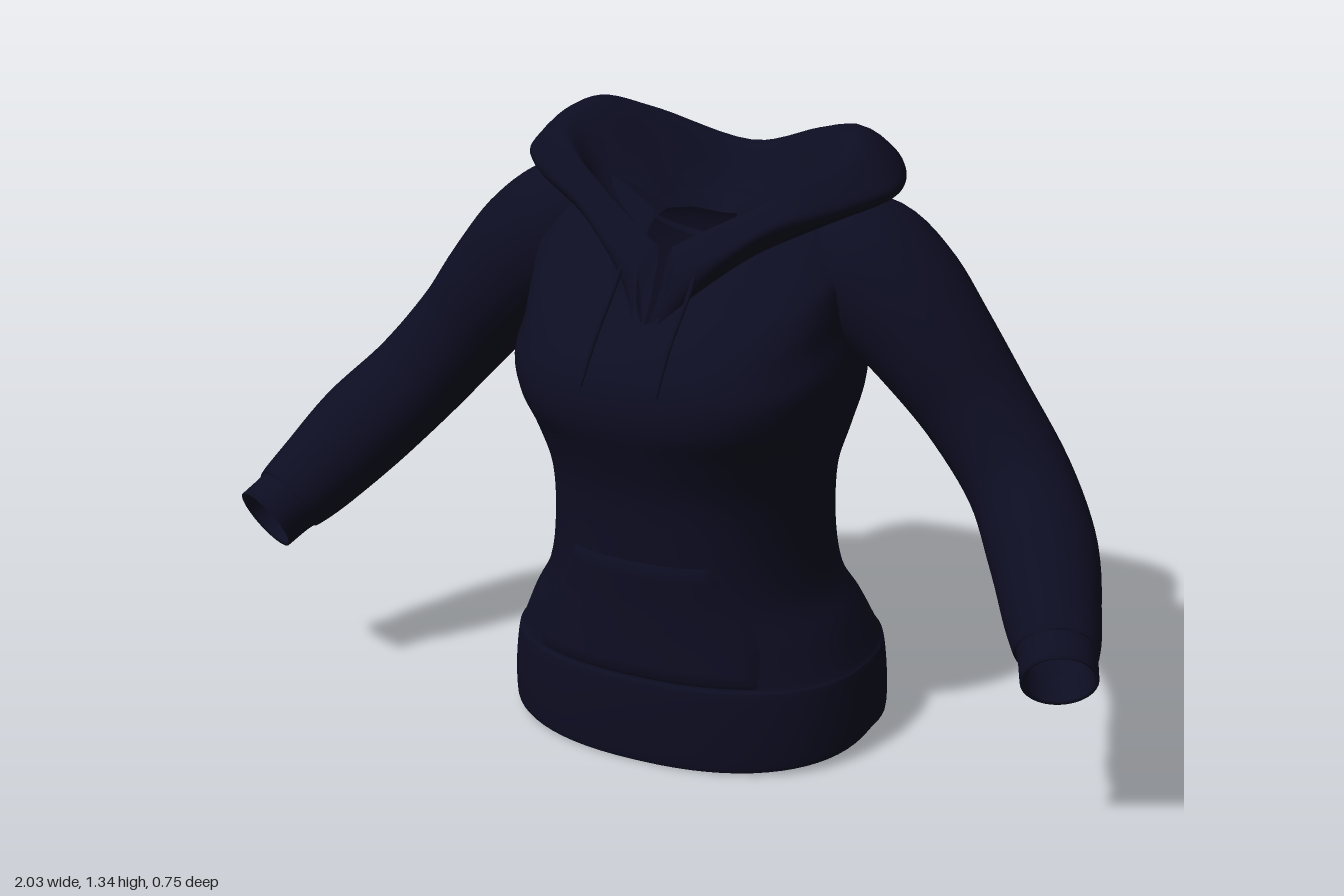
import * as THREE from 'three';

const V = (x, y, z) => new THREE.Vector3(x, y, z);

// Resample a list of points with a smooth curve
function smooth(points, n) {
  const curve = new THREE.CatmullRomCurve3(points, false, 'catmullrom', 0.5);
  return Array.from({ length: n + 1 }, (_, i) => curve.getPoint(i / n));
}

// Resample a list of equal sections along the loft direction
function smoothSections(sections, n) {
  const columns = sections[0].map((_, j) => smooth(sections.map((s) => s[j]), n));
  return Array.from({ length: n + 1 }, (_, i) => columns.map((c) => c[i]));
}

// Skin over cross-sections, optionally closed around each section
function loft(sections, closed) {
  const m = sections[0].length;
  const pos = sections.flat().flatMap((p) => [p.x, p.y, p.z]);
  const index = [];
  for (let i = 0; i < sections.length - 1; i++) {
    for (let j = 0; j < (closed ? m : m - 1); j++) {
      const a = i * m + j, b = i * m + ((j + 1) % m), c = a + m, d = b + m;
      index.push(a, b, c, b, d, c);
    }
  }
  const g = new THREE.BufferGeometry();
  g.setAttribute('position', new THREE.Float32BufferAttribute(pos, 3));
  g.setIndex(index);
  g.computeVertexNormals();
  return g;
}

// Level rings from the hem fold to the chest: y, half width, front z, back z
const LOWER = [
  [0.05, 0.405, 0.288, -0.325], [0.035, 0.42, 0.303, -0.34], [0.1, 0.42, 0.31, -0.352],
  [0.18, 0.41, 0.31, -0.352], [0.2, 0.4, 0.302, -0.342], [0.28, 0.365, 0.298, -0.295],
  [0.36, 0.322, 0.297, -0.245], [0.47, 0.303, 0.3, -0.235], [0.6, 0.305, 0.31, -0.24],
  [0.7, 0.335, 0.34, -0.25],
];

// Tilted rings up to the neck: side y, half width, front y, front z, back y, back z, centre z, squareness
const UPPER = [
  [0.79, 0.36, 0.77, 0.363, 0.8, -0.26, 0, 2.5],
  [0.88, 0.37, 0.83, 0.365, 0.88, -0.272, 0.02, 2.5],
  [0.97, 0.36, 0.88, 0.35, 0.96, -0.278, -0.02, 2.5],
  [1.06, 0.365, 0.92, 0.318, 1.04, -0.275, -0.05, 2.4],
  [1.14, 0.36, 0.945, 0.29, 1.1, -0.25, -0.06, 2.2],
  [1.195, 0.3, 0.96, 0.27, 1.15, -0.21, -0.04, 2],
  [1.2, 0.2, 0.965, 0.258, 1.16, -0.16, 0, 1.8],
  [1.15, 0.09, 0.97, 0.25, 1.13, -0.11, 0.03, 1.6],
];

function torsoRing([yS, w, yF, zF, yB, zB, zc, n], count = 72) {
  const power = (v) => Math.sign(v) * Math.abs(v) ** (2 / n);
  return Array.from({ length: count }, (_, j) => {
    const t = (j / count) * Math.PI * 2;
    const k = power(Math.cos(t));
    const [y, z] = k > 0 ? [yF, zF] : [yB, zB];
    return V(w * power(Math.sin(t)), yS + Math.abs(k) * (y - yS), zc + Math.abs(k) * (z - zc));
  });
}

function torso() {
  // The hem dips at the front and a little at the back
  const lower = LOWER.map(([y, w, zF, zB]) => {
    const dip = THREE.MathUtils.clamp((0.12 - y) / 0.085, 0, 1);
    return [y, w, y - 0.035 * dip, zF, y - 0.015 * dip, zB, 0, 2.3];
  });
  const rings = [...lower, ...UPPER].map((r) => torsoRing(r));
  return loft(smoothSections(rings, 85), true);
}

// Front surface of the lower torso
function frontZ(x, y) {
  const i = LOWER.findIndex((r) => r[0] > y);
  const a = LOWER[i - 1], b = LOWER[i], f = (y - a[0]) / (b[0] - a[0]);
  const w = a[1] + f * (b[1] - a[1]), z = a[2] + f * (b[2] - a[2]);
  return z * (1 - Math.min(1, Math.abs(x) / w) ** 2.3) ** (1 / 2.3);
}

// Sleeve path: x, y, z, radius
const SLEEVE = [
  [0.26, 1.06, -0.08, 0.12], [0.34, 1.06, -0.08, 0.15], [0.43, 1.0, -0.07, 0.148],
  [0.52, 0.91, -0.06, 0.132], [0.62, 0.79, -0.055, 0.117], [0.73, 0.66, -0.02, 0.112],
  [0.82, 0.555, 0.075, 0.113], [0.88, 0.47, 0.175, 0.1], [0.915, 0.425, 0.235, 0.088],
  [0.922, 0.415, 0.25, 0.08], [0.945, 0.385, 0.3, 0.078],
];

function sleeve(side) {
  const n = 56, ring = 32;
  const path = new THREE.CatmullRomCurve3(SLEEVE.map(([x, y, z]) => V(x * side, y, z)), false, 'catmullrom', 0.5);
  const radii = smooth(SLEEVE.map((s) => V(s[3], 0, 0)), n);
  const ref = V(side, 1, 0).normalize();
  const section = (t, r) => {
    const p = path.getPoint(t), tan = path.getTangent(t);
    const u = ref.clone().addScaledVector(tan, -ref.dot(tan)).normalize();
    const v = tan.clone().cross(u);
    return Array.from({ length: ring }, (_, j) => {
      const a = (j / ring) * Math.PI * 2;
      return p.clone().addScaledVector(u, r * Math.cos(a)).addScaledVector(v, r * Math.sin(a));
    });
  };
  const sections = radii.map((r, i) => section(i / n, r.x));
  // Turn the fabric back inside the cuff
  sections.push(section(0.995, 0.07), section(0.9, 0.068));
  return loft(sections, true);
}

// Hood sections from centre back to the neck slit: inner neck, rim, outside, bulge, tuck
const HOOD = [
  [[0, 1.12, -0.11], [0, 1.25, -0.24], [0, 1.19, -0.31], [0, 1.08, -0.373], [0, 1.0, -0.265]],
  [[0.06, 1.13, -0.09], [0.19, 1.31, -0.19], [0.23, 1.22, -0.285], [0.22, 1.1, -0.335], [0.19, 1.03, -0.24]],
  [[0.085, 1.14, -0.03], [0.29, 1.34, -0.12], [0.36, 1.28, -0.2], [0.36, 1.19, -0.23], [0.3, 1.12, -0.17]],
  [[0.09, 1.13, 0.03], [0.33, 1.31, -0.03], [0.42, 1.255, -0.06], [0.415, 1.215, -0.06], [0.32, 1.16, -0.05]],
  [[0.085, 1.1, 0.08], [0.27, 1.265, 0.055], [0.36, 1.24, 0.04], [0.36, 1.2, 0.04], [0.26, 1.14, 0.02]],
  [[0.07, 1.05, 0.13], [0.17, 1.2, 0.095], [0.23, 1.19, 0.11], [0.23, 1.16, 0.115], [0.17, 1.09, 0.1]],
  [[0.04, 1.0, 0.19], [0.08, 1.15, 0.135], [0.115, 1.135, 0.155], [0.125, 1.1, 0.175], [0.09, 1.03, 0.175]],
  [[0.004, 0.96, 0.25], [0.012, 1.11, 0.16], [0.03, 1.1, 0.18], [0.04, 1.06, 0.205], [0.028, 0.97, 0.25]],
];

function hood() {
  const half = (side) => HOOD.map((s) => {
    const [neck, rim, ...outer] = s.map(([x, y, z]) => V(x * side, y, z));
    // The inner wall sags slightly between neck and rim
    const wall = neck.clone().lerp(rim, 0.5).add(V(0, -0.02, 0));
    return smooth([neck, wall, rim, ...outer], 25);
  });
  return loft(smoothSections([...half(1).reverse(), ...half(-1).slice(1)], 84), false);
}

// Front pocket: a thin raised patch with its rim tucked into the torso
function pocket() {
  const rows = 14, cols = 28, sections = [];
  for (let i = 0; i <= rows; i++) {
    const f = i / rows, y = 0.19 + 0.28 * f;
    const halfWidth = 0.27 - 0.1 * THREE.MathUtils.smoothstep(f, 0.25, 1);
    sections.push(Array.from({ length: cols + 1 }, (_, j) => {
      const x = halfWidth * ((2 * j) / cols - 1);
      const rim = i === 0 || i === rows || j === 0 || j === cols;
      return V(x, y, frontZ(x, y) + (rim ? -0.008 : 0.009));
    }));
  }
  return loft(sections, false);
}

export function createModel() {
  const group = new THREE.Group();
  const navy = new THREE.MeshStandardMaterial({ color: 0x0d0d22, side: THREE.DoubleSide });
  navy.name = 'navyFabric';
  const add = (name, geometry) => {
    const mesh = new THREE.Mesh(geometry, navy);
    mesh.name = name;
    group.add(mesh);
  };

  add('torso', torso());
  add('hood', hood());
  add('frontPocket', pocket());

  // Sleeves and drawstrings, mirrored
  for (const [side, label] of [[1, 'left'], [-1, 'right']]) {
    add(label + 'Sleeve', sleeve(side));
    const cord = new THREE.CatmullRomCurve3([
      V(0.085 * side, 1.12, 0.15), V(0.085 * side, 1.04, 0.212),
      V(0.085 * side, 0.95, 0.302), V(0.087 * side, 0.86, 0.37),
    ]);
    add(label + 'Drawstring', new THREE.TubeGeometry(cord, 24, 0.005, 8));
  }
  return group;
}
